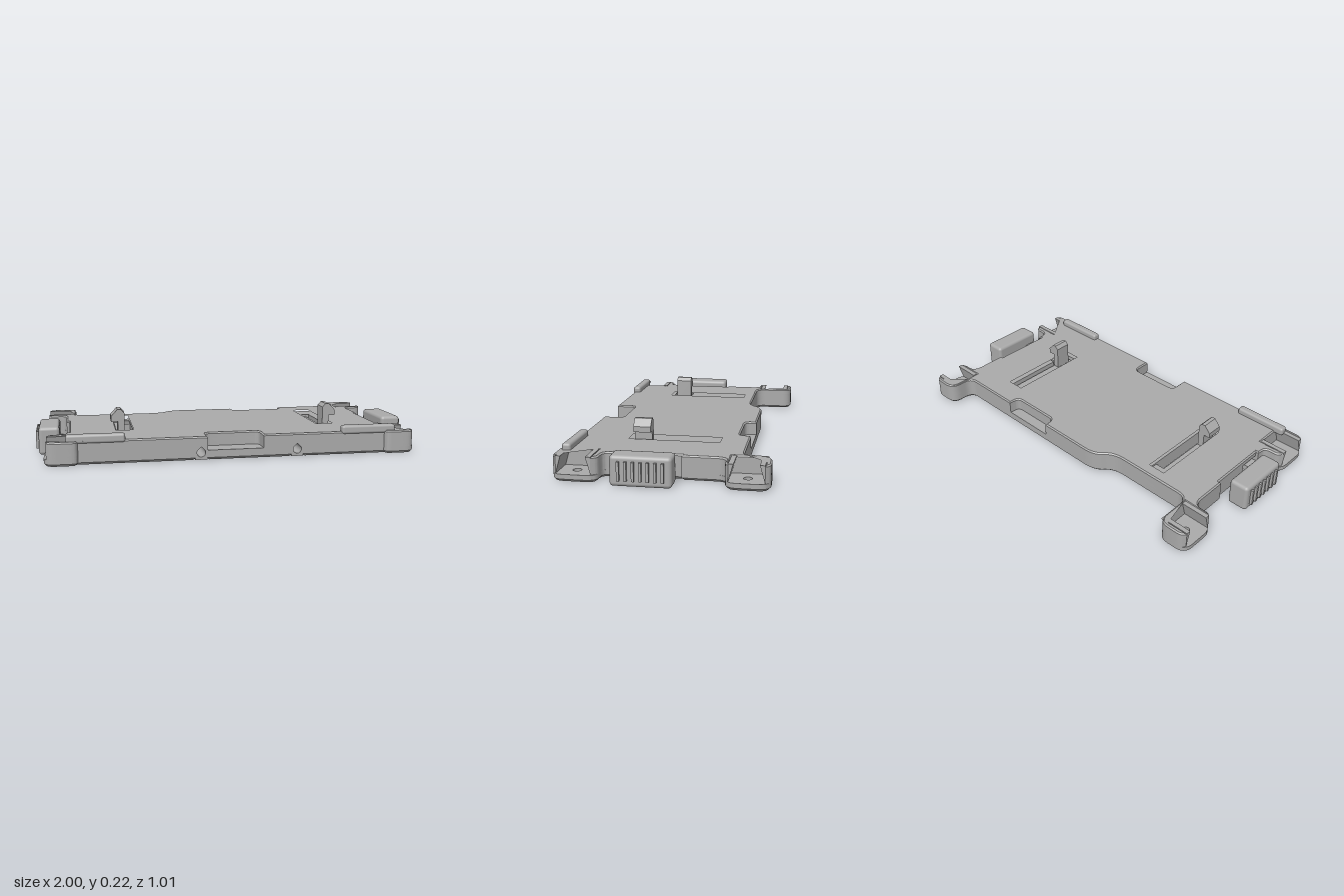
import * as THREE from 'three';
import { toCreasedNormals } from 'three/addons/utils/BufferGeometryUtils.js';
import { RoundedBoxGeometry } from 'three/addons/geometries/RoundedBoxGeometry.js';

const grey = new THREE.MeshStandardMaterial({ color: 0xaaaaaa });
grey.name = 'grey plastic';

// Closed path through [x, z, cornerRadius] points, drawn in plan (shape y = -z)
function roundedPath(points, path = new THREE.Shape()) {
  const v = points.map(([x, z]) => new THREE.Vector2(x, -z));
  points.forEach(([, , r = 0], i) => {
    const p = v[i], a = v[(i + v.length - 1) % v.length], b = v[(i + 1) % v.length];
    const toward = (q) => p.clone().lerp(q, Math.min(0.5, r / p.distanceTo(q)));
    const s = toward(a), e = toward(b);
    if (i === 0) path.moveTo(s.x, s.y);
    else path.lineTo(s.x, s.y);
    if (r > 0) path.quadraticCurveTo(p.x, p.y, e.x, e.y);
  });
  path.closePath();
  return path;
}

const rect = (x0, x1, z0, z1, r = 0) =>
  roundedPath([[x0, z0, r], [x1, z0, r], [x1, z1, r], [x0, z1, r]], new THREE.Path());

function disc(x, z, r) {
  const p = new THREE.Path();
  p.absarc(x, -z, r, 0, Math.PI * 2);
  return p;
}

// Horizontal slab from y0 to y1, chamfered only where asked
function slab(shape, y0, y1, bottom = 0, top = 0) {
  const b = Math.max(bottom, top), depth = y1 - y0 - bottom - top;
  const geo = new THREE.ExtrudeGeometry(shape, {
    depth, curveSegments: 8, bevelEnabled: b > 0, bevelSegments: 1,
    bevelSize: b, bevelThickness: b, bevelOffset: -b,
  });
  const pos = geo.attributes.position;
  for (let i = 0; i < pos.count; i++) {
    let z = pos.getZ(i);
    if (!top) z = Math.min(z, depth);
    if (!bottom) z = Math.max(z, 0);
    pos.setZ(i, z);
  }
  geo.rotateX(-Math.PI / 2).translate(0, y0 + bottom, 0);
  geo.computeVertexNormals();
  return toCreasedNormals(geo, 0.5);
}

// Right edge of the plate, running from the back ear to the front ear
function sideEdge(pockets, channel) {
  const backEar = pockets
    ? [[0.925, -0.507, 0.03], [0.943, -0.482], [0.8, -0.482], [0.8, -0.316], [0.943, -0.316], [0.925, -0.3, 0.02]]
    : [[0.955, -0.507, 0.06], [0.955, -0.3, 0.06]];
  const frontEar = pockets
    ? [[0.925, 0.285, 0.02], [0.943, 0.316], [0.8, 0.316], [0.8, 0.482], [0.943, 0.482], [0.925, 0.503, 0.03]]
    : [[0.955, 0.285, 0.06], [0.955, 0.503, 0.06]];
  const slotCut = channel
    ? [[0.83, 0.12], [0.598, 0.12], [0.598, -0.24], [0.49, -0.24], [0.49, 0.23], [0.83, 0.23]]
    : [[0.83, 0.23]];
  return [
    [0.79, -0.507, 0.06], ...backEar, [0.845, -0.3, 0.05], [0.845, -0.09], [0.83, -0.09],
    ...slotCut, [0.845, 0.23], [0.85, 0.285, 0.045], ...frontEar, [0.8, 0.503, 0.03], [0.79, 0.478],
  ];
}

const boreX = [0.32, -0.18];

function outline({ pockets, channel, notches }) {
  const side = sideEdge(pockets, channel);
  const mirrored = side.map(([x, z, r]) => [-x, z, r]).reverse();
  const bores = (x) => (channel
    ? [[x + 0.03, 0.478], [x + 0.03, 0.31], [x - 0.03, 0.31], [x - 0.03, 0.478]] : []);
  const backNotch = notches
    ? [[0.14, -0.37], [0.145, -0.31, 0.03], [0.43, -0.31, 0.03], [0.435, -0.37]] : [];
  const frontNotch = notches
    ? [[0.142, 0.478], [0.142, 0.37, 0.03], [-0.145, 0.37, 0.03], [-0.145, 0.478]] : [];
  return roundedPath([
    [-0.3, -0.292, 0.07], [-0.23, -0.37, 0.07], ...backNotch, [0.79, -0.37, 0.05],
    ...side, ...bores(boreX[0]), ...frontNotch, ...bores(boreX[1]),
    ...mirrored, [-0.79, -0.292, 0.06],
  ]);
}

export function createModel() {
  const model = new THREE.Group();
  const add = (name, geo, parent = model) => {
    const mesh = new THREE.Mesh(geo, grey);
    mesh.name = name;
    parent.add(mesh);
    return mesh;
  };
  const box = (x0, x1, y0, y1, z0, z1) => new THREE.BoxGeometry(x1 - x0, y1 - y0, z1 - z0)
    .translate((x0 + x1) / 2, (y0 + y1) / 2, (z0 + z1) / 2);
  const recess = () => rect(-0.26, 0.355, -0.045, 0.29);

  // Plate in layers: ear floors, notch floors, body, top skin
  const floor = outline({ channel: true });
  floor.holes.push(recess());
  for (const x of [-0.873, 0.873]) for (const z of [-0.4, 0.4]) floor.holes.push(disc(x, z, 0.021));
  add('plateFloor', slab(floor, 0, 0.035, 0.012));

  const lower = outline({ pockets: true, channel: true });
  lower.holes.push(recess());
  add('plateLower', slab(lower, 0.035, 0.05));

  const body = outline({ pockets: true, channel: true, notches: true });
  body.holes.push(recess());
  add('plateBody', slab(body, 0.05, 0.09));

  const skin = outline({ pockets: true, notches: true });
  skin.holes.push(rect(0.49, 0.598, -0.24, 0.23), rect(-0.598, -0.49, -0.24, 0.23));
  add('plateTop', slab(skin, 0.09, 0.12, 0, 0.007));

  // Teardrop bores in the front edge
  for (const x of boreX) {
    const s = new THREE.Shape([[-0.031, 0.002], [0.031, 0.002], [0.031, 0.09], [-0.031, 0.09]]
      .map(([a, b]) => new THREE.Vector2(a, b)));
    // keep the bore surround clear of the finger notch
    const hole = new THREE.Path();
    hole.absarc(0, 0.038, 0.022, Math.PI * 0.8, Math.PI * 2.2);
    hole.lineTo(0, 0.068);
    hole.closePath();
    s.holes.push(hole);
    add('boreBlock', new THREE.ExtrudeGeometry(s, { depth: 0.17, bevelEnabled: false })
      .translate(x, 0, 0.308));
  }

  for (const sign of [1, -1]) {
    const side = new THREE.Group();
    side.name = sign > 0 ? 'leftSide' : 'rightSide';
    side.rotation.y = sign > 0 ? 0 : Math.PI;
    model.add(side);
    // The half turn flips z too, so each z is given in model space and converted
    const put = (name, x0, x1, y0, y1, z0, z1) =>
      add(name, box(x0, x1, y0, y1, ...(sign > 0 ? [z0, z1] : [-z1, -z0])), side);

    // Sliding latch: spring arm, root and link to the button
    put('springArm', 0.54, 0.578, 0, 0.08, -0.24, 0.215);
    put('armRoot', 0.485, 0.541, 0, 0.08, -0.24, -0.17);
    put('buttonLink', 0.56, 0.9, 0, 0.08, 0.14, 0.21);

    // Hook with outward beak
    const hook = new THREE.Shape([
      [0.543, 0.07], [0.578, 0.07], [0.578, 0.16], [0.613, 0.16], [0.613, 0.188],
      [0.58, 0.224], [0.56, 0.224], [0.543, 0.205],
    ].map(([x, y]) => new THREE.Vector2(x, y)));
    add('hook', new THREE.ExtrudeGeometry(hook, { depth: 0.087, bevelEnabled: false })
      .translate(0, 0, sign > 0 ? 0.107 : -0.194), side);

    // Grip button with ribs
    add('gripButton', new RoundedBoxGeometry(0.108, 0.145, 0.288, 3, 0.018)
      .translate(0.932, 0.0725, sign * 0.074), side);
    for (let i = 0; i < 7; i++) {
      const z = 0.174 - i * 0.0341;
      put('gripRib', 0.98, 1, 0.03, 0.12, z - 0.006, z + 0.006);
    }

    // Lip along the front edge
    add('frontLip', new RoundedBoxGeometry(0.29, 0.045, 0.044, 3, 0.013)
      .translate(0.703, 0.1285, sign * 0.462), side);

    // Leaning walls narrow the ear pockets toward the top
    for (const end of [1, -1]) {
      for (const [z, lean] of [[0.316, 0.024], [0.482, -0.024]]) {
        const wedge = new THREE.Shape([[0, 0.035], [0, 0.119], [lean, 0.119]]
          .map(([a, b]) => new THREE.Vector2(a * end, b)));
        add('pocketWall', new THREE.ExtrudeGeometry(wedge, { depth: 0.143, bevelEnabled: false })
          .rotateY(-Math.PI / 2).translate(0.943, 0, z * end), side);
      }
    }
  }
  return model;
}
